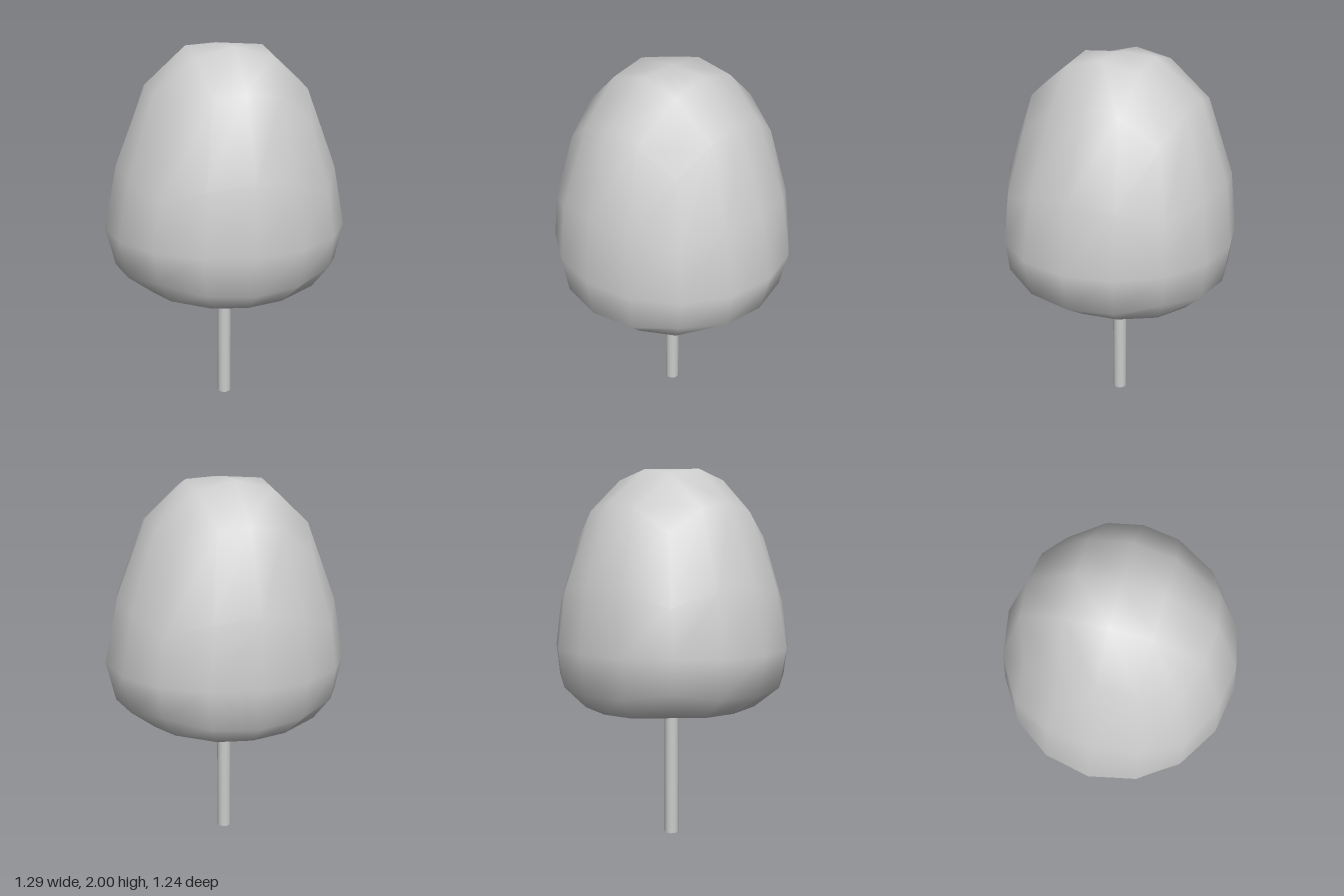
import * as THREE from 'three';
import { mergeVertices } from 'three/addons/utils/BufferGeometryUtils.js';

const grey = () => new THREE.MeshStandardMaterial({ color: 0xcccccc });

// Profile from top pole to bottom pole: half width (x), height (y), half depth (z)
const profile = new THREE.CatmullRomCurve3([
  [0, 2.0, 0], [0.2, 1.99, 0.19], [0.405, 1.81, 0.43], [0.57, 1.41, 0.58],
  [0.645, 1.075, 0.622], [0.6, 0.865, 0.595], [0.45, 0.757, 0.48],
  [0.25, 0.737, 0.28], [0, 0.735, 0],
].map(p => new THREE.Vector3(...p)), false, 'catmullrom', 0.5);

// Rounded crown: a 4x4-per-side box wrapped onto the profile
function crownGeometry() {
  let geo = new THREE.BoxGeometry(2, 2, 2, 4, 4, 4);
  geo.deleteAttribute('uv');
  geo.deleteAttribute('normal');
  geo = mergeVertices(geo);
  const pos = geo.attributes.position;
  const dir = new THREE.Vector3();
  for (let i = 0; i < pos.count; i++) {
    // equal-angle spacing on the sphere
    dir.fromArray([pos.getX(i), pos.getY(i), pos.getZ(i)].map(c => Math.tan(c * Math.PI / 4))).normalize();
    const polar = Math.acos(THREE.MathUtils.clamp(dir.y, -1, 1));
    const around = Math.atan2(dir.z, dir.x);
    const p = profile.getPoint(polar / Math.PI);
    pos.setXYZ(i, p.x * Math.cos(around), p.y, p.z * Math.sin(around));
  }
  geo.computeVertexNormals();
  return geo;
}

export function createModel() {
  const model = new THREE.Group();
  model.name = 'tree';

  const crown = new THREE.Mesh(crownGeometry(), grey());
  crown.name = 'crown';
  model.add(crown);

  // Thin straight trunk, its top hidden in the crown
  const trunk = new THREE.Mesh(new THREE.CylinderGeometry(0.039, 0.039, 0.78, 16), grey());
  trunk.name = 'trunk';
  trunk.position.y = 0.39;
  model.add(trunk);

  return model;
}
